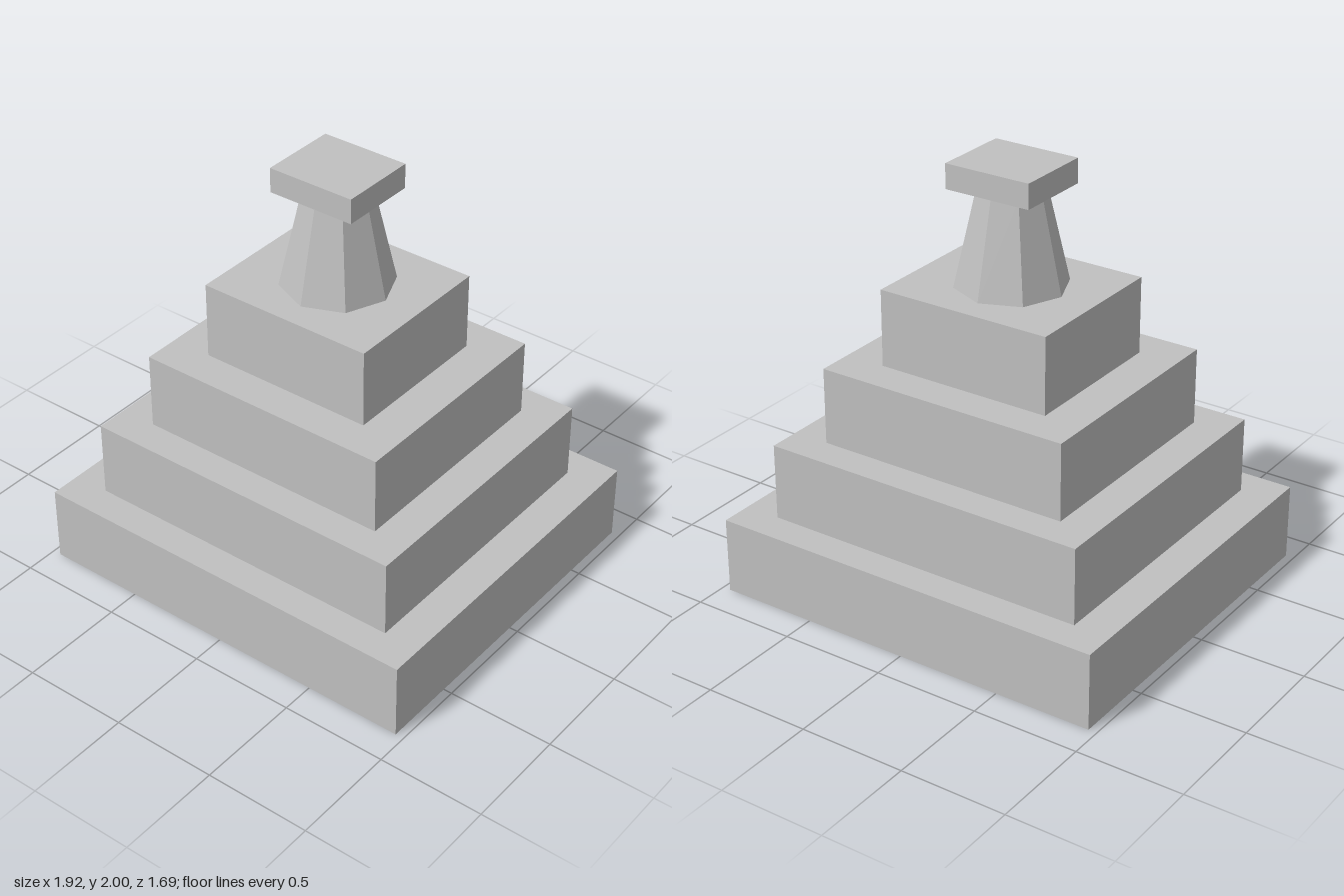
import * as THREE from 'three';

export function createModel() {
  const model = new THREE.Group();
  const stone = new THREE.MeshStandardMaterial({ color: 0xc0c0c0, flatShading: true });
  stone.name = 'grey stone';

  const add = (name, geometry, y) => {
    const mesh = new THREE.Mesh(geometry, stone);
    mesh.name = name;
    mesh.position.y = y;
    model.add(mesh);
  };

  // Four stacked tiers, each stepping inwards
  const tierHeight = 0.36;
  const tiers = [[1.92, 1.69], [1.575, 1.39], [1.23, 1.085], [0.845, 0.745]];
  tiers.forEach(([width, depth], i) => {
    add(`tier${i + 1}`, new THREE.BoxGeometry(width, tierHeight, depth), (i + 0.5) * tierHeight);
  });

  // Tapered eight-sided column, corners on the x and z axes
  const columnBase = tiers.length * tierHeight;
  const capBase = 1.885;
  const columnHeight = capBase - columnBase;
  add('column', new THREE.CylinderGeometry(0.153, 0.255, columnHeight, 8), columnBase + columnHeight / 2);

  // Flat cap slab
  const capHeight = 2 - capBase;
  add('capSlab', new THREE.BoxGeometry(0.42, capHeight, 0.37), capBase + capHeight / 2);

  return model;
}
